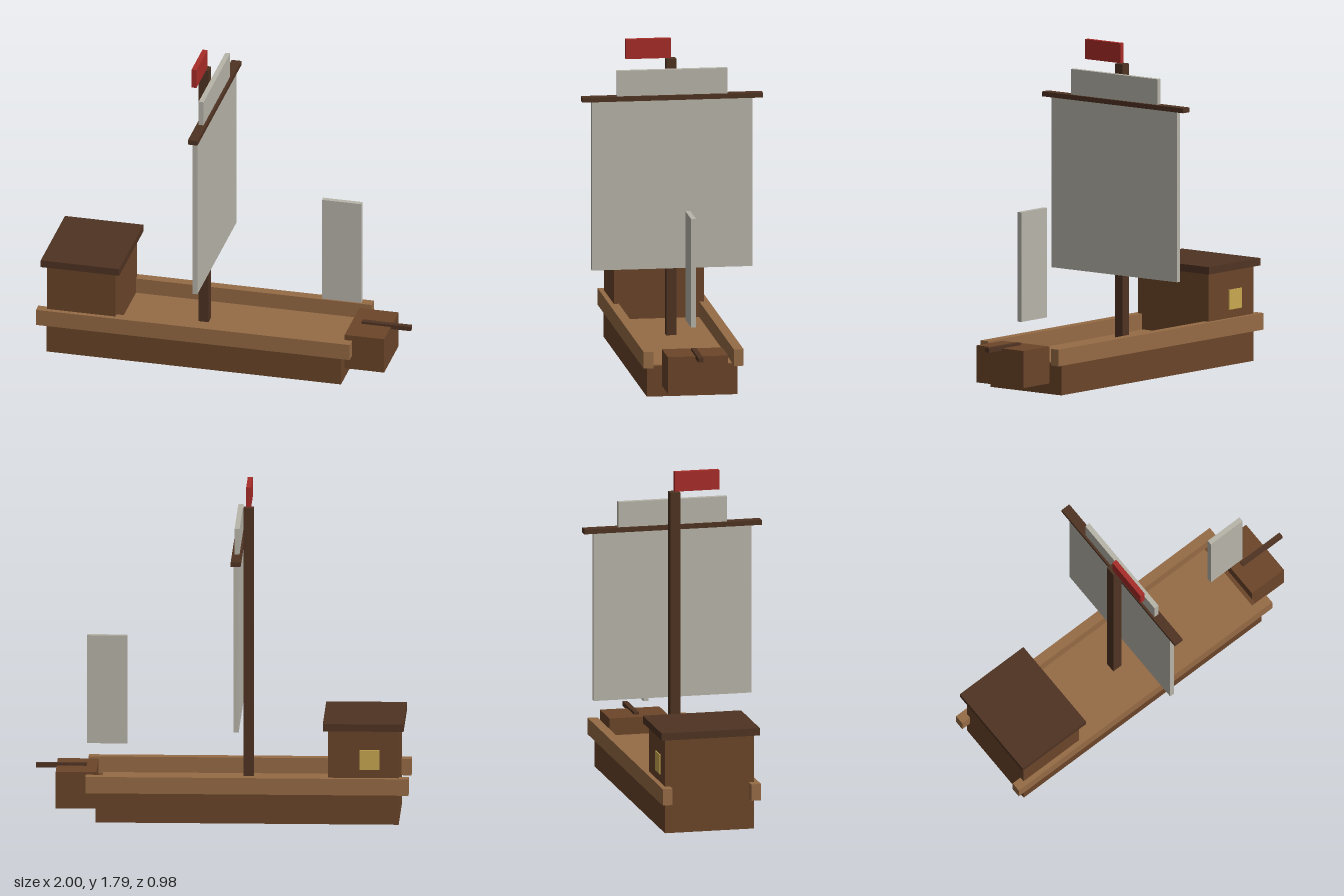
import * as THREE from 'three';

const paint = (color) => new THREE.MeshStandardMaterial({ color, flatShading: true });

export function createModel() {
  const ship = new THREE.Group();
  ship.name = 'sailingShip';

  const hullWood = paint(0x6b4529);
  const plankWood = paint(0x966b45);
  const darkWood = paint(0x4f3322);
  const cloth = paint(0xb8b5aa);
  const red = paint(0xa82c28);
  const glow = paint(0xc8a850);

  // Box from its limits on each axis
  const block = (name, material, [x0, x1], [y0, y1], [z0, z1]) => {
    const mesh = new THREE.Mesh(new THREE.BoxGeometry(x1 - x0, y1 - y0, z1 - z0), material);
    mesh.position.set((x0 + x1) / 2, (y0 + y1) / 2, (z0 + z1) / 2);
    mesh.name = name;
    ship.add(mesh);
  };
  const mid = (half) => [-half, half];

  // Hull, bow and deck
  block('hull', hullWood, [-0.947, 0.673], [0, 0.165], mid(0.245));
  block('bow', hullWood, [0.673, 0.89], [0.057, 0.257], mid(0.163));
  block('deck', plankWood, [-0.927, 0.65], [0.14, 0.17], mid(0.22));
  block('bowsprit', darkWood, [0.73, 1], [0.245, 0.27], mid(0.014));

  // Side rails
  block('leftRail', plankWood, [-1, 0.727], [0.165, 0.255], [0.217, 0.27]);
  block('rightRail', plankWood, [-1, 0.727], [0.165, 0.255], [-0.27, -0.217]);

  // Stern cabin with one window
  block('cabin', hullWood, [-0.947, -0.57], [0.165, 0.515], mid(0.244));
  block('cabinRoof', darkWood, [-0.974, -0.542], [0.515, 0.555], mid(0.27));
  block('cabinWindow', glow, [-0.845, -0.737], [0.3, 0.408], [-0.25, -0.235]);

  // Mast, yard and flag
  block('mast', darkWood, [-0.164, -0.11], [0.165, 1.677], mid(0.027));
  block('yard', darkWood, [-0.11, -0.057], [1.463, 1.489], mid(0.488));
  block('flag', red, [-0.15, -0.123], [1.68, 1.787], [0, 0.244]);

  // Sails
  block('mainSail', cloth, [-0.098, -0.071], [0.543, 1.476], mid(0.434));
  block('topSail', cloth, [-0.098, -0.071], [1.476, 1.627], mid(0.298));
  block('foreSail', cloth, [0.511, 0.727], [0.381, 0.973], mid(0.0135));

  return ship;
}
